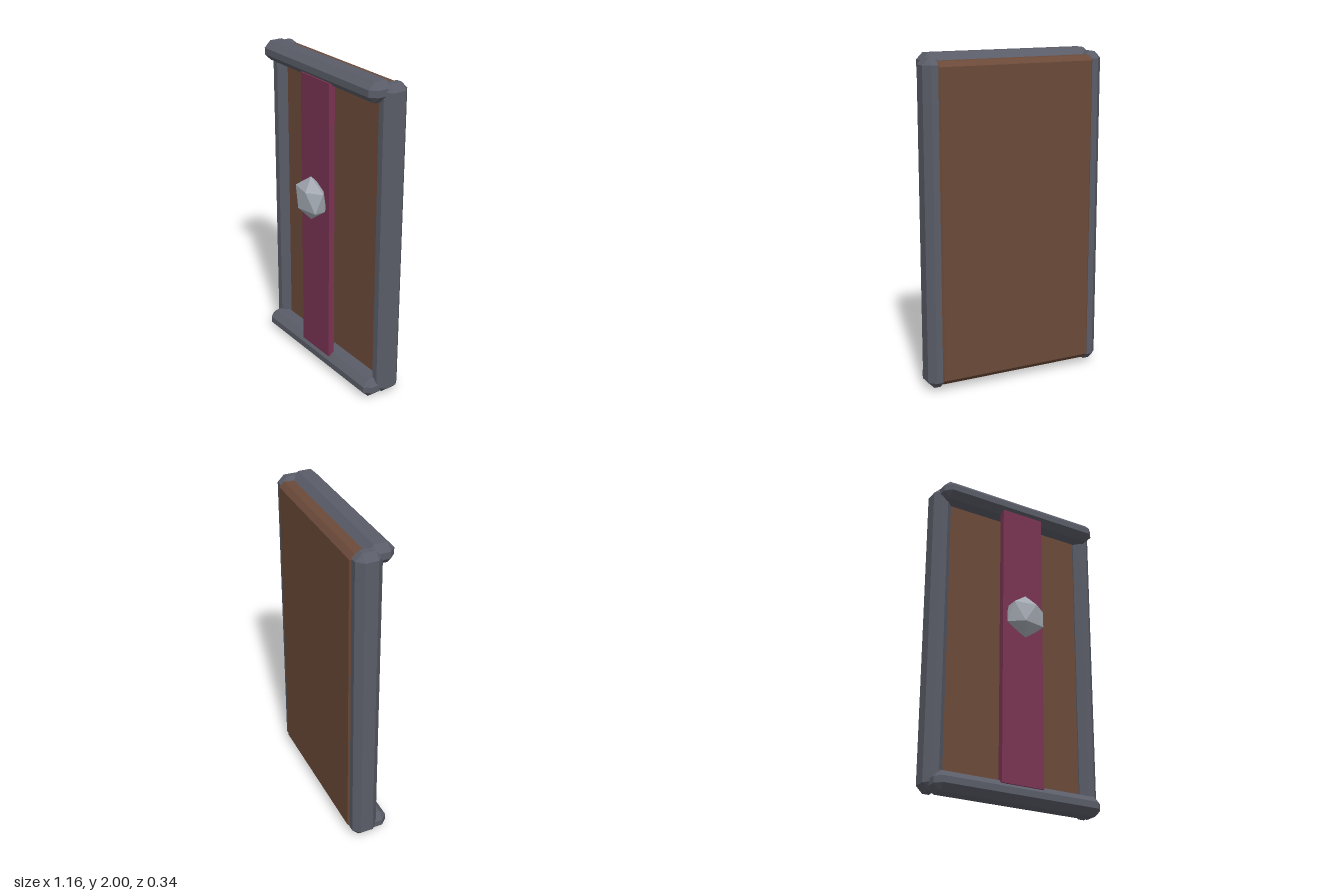
import * as THREE from 'three';
import { ConvexGeometry } from 'three/addons/geometries/ConvexGeometry.js';

// Box with every edge and corner cut flat by c
function chamferBox(w, h, d, c) {
  const pts = [];
  for (const sx of [-1, 1]) for (const sy of [-1, 1]) for (const sz of [-1, 1]) {
    const x = w / 2, y = h / 2, z = d / 2;
    pts.push(
      new THREE.Vector3(sx * x, sy * (y - c), sz * (z - c)),
      new THREE.Vector3(sx * (x - c), sy * y, sz * (z - c)),
      new THREE.Vector3(sx * (x - c), sy * (y - c), sz * z));
  }
  return new ConvexGeometry(pts);
}

export function createModel() {
  const group = new THREE.Group();
  const material = (name, color) => {
    const m = new THREE.MeshStandardMaterial({ color });
    m.name = name;
    return m;
  };
  const iron = material('dark iron', 0x5a5d68);
  const wood = material('brown wood', 0x6b4a39);
  const cloth = material('crimson band', 0x7a3352);
  const steel = material('pale steel', 0xa4aab3);

  const add = (name, geometry, mat, x, y, z) => {
    const mesh = new THREE.Mesh(geometry, mat);
    mesh.name = name;
    mesh.position.set(x, y, z);
    group.add(mesh);
  };

  // Wooden panel
  add('panel', chamferBox(1.04, 1.92, 0.12, 0.03), wood, 0, 1, -0.11);

  // Frame: upright rails, then the cross rails set further forward
  const upright = chamferBox(0.12, 1.96, 0.16, 0.04);
  add('leftRail', upright, iron, 0.52, 1, -0.08);
  add('rightRail', upright, iron, -0.52, 1, -0.08);
  const cross = chamferBox(1.1, 0.12, 0.16, 0.04);
  add('topRail', cross, iron, 0, 1.94, 0);
  add('bottomRail', cross, iron, 0, 0.06, 0);

  // Central band
  add('centreBand', new THREE.BoxGeometry(0.28, 1.8, 0.04), cloth, 0, 1, 0.05);

  // Faceted boss, standing on a vertex and flattened front to back
  const boss = new THREE.IcosahedronGeometry(0.14, 0);
  boss.rotateZ(-Math.atan(2 / (1 + Math.sqrt(5))));
  boss.scale(1, 1, 0.57);
  boss.computeVertexNormals();
  add('boss', boss, steel, 0, 1.16, 0.1);

  return group;
}
